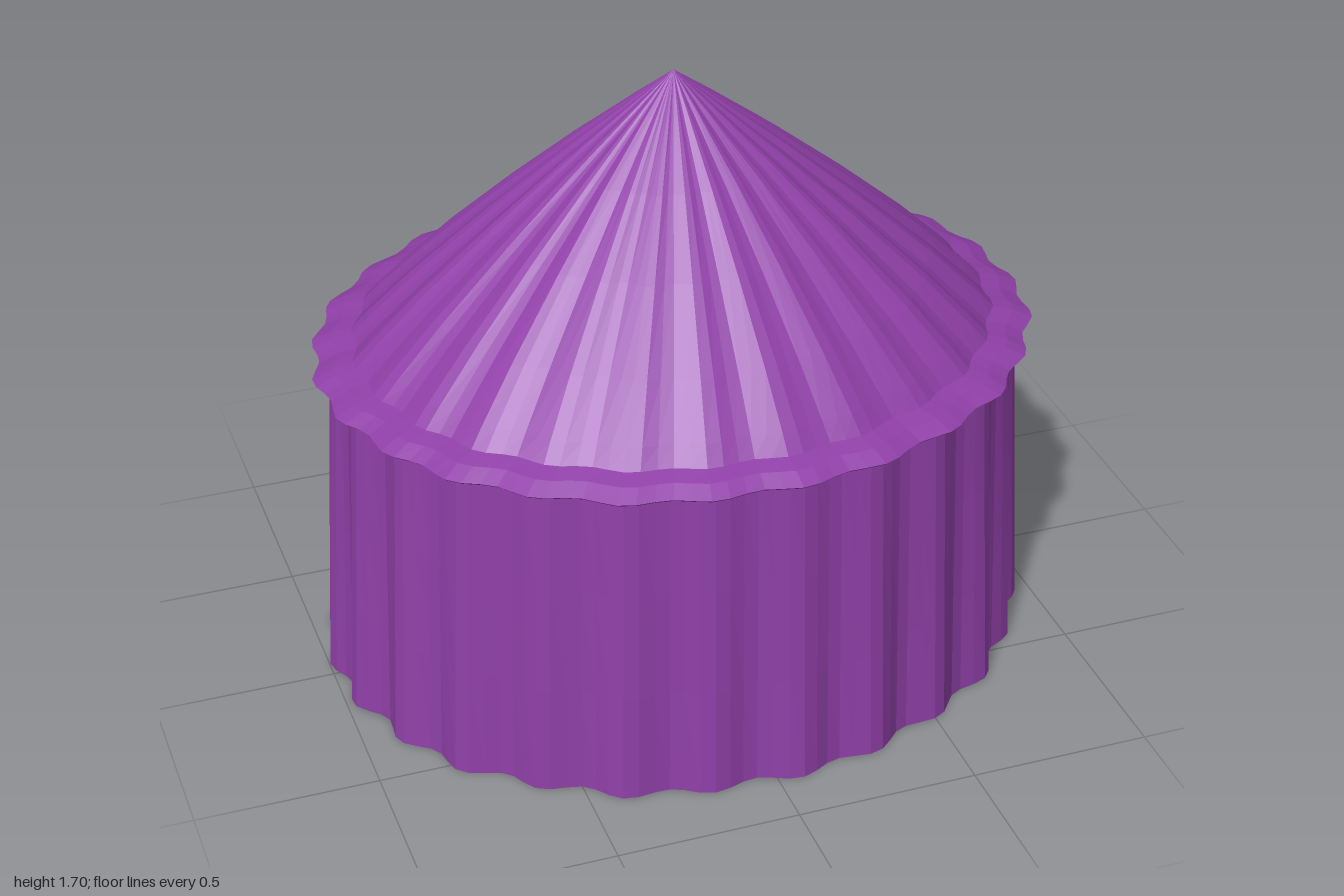
import * as THREE from 'three';

const DEPTH = 0.86;   // oval plan: depth / width
const PLEATS = 26;
const DOOR = [-0.48, 0.42]; // door edges, angle from the back centre

const cloth = new THREE.MeshStandardMaterial({ color: 0x9040a8, side: THREE.DoubleSide, flatShading: true });
const dark = new THREE.MeshStandardMaterial({ color: 0x2a2032, side: THREE.DoubleSide });
const gold = new THREE.MeshStandardMaterial({ color: 0xc8b040 });

// Grid surface from point(u, v) with u, v in 0..1
function sheet(name, nu, nv, point, material, closed = false) {
  const positions = [], index = [];
  const cols = closed ? nu : nu + 1;
  for (let j = 0; j <= nv; j++)
    for (let i = 0; i < cols; i++) positions.push(...point(i / nu, j / nv, j));
  for (let j = 0; j < nv; j++)
    for (let i = 0; i < nu; i++) {
      const k = (i + 1) % cols;
      const a = j * cols + i, b = j * cols + k, c = a + cols, d = b + cols;
      index.push(a, b, c, b, d, c);
    }
  const geometry = new THREE.BufferGeometry();
  geometry.setAttribute('position', new THREE.Float32BufferAttribute(positions, 3));
  geometry.setIndex(index);
  geometry.computeVertexNormals();
  const mesh = new THREE.Mesh(geometry, material);
  mesh.name = name;
  return mesh;
}

// Point on the oval, angle measured from the back centre towards +x
const oval = (angle, r, y) => [r * Math.sin(angle), y, -DEPTH * r * Math.cos(angle)];

// Uneven pleat wave in -1..1
const pleat = (angle) =>
  0.8 * Math.cos(PLEATS * angle + 1.6) + 0.2 * Math.sin(11 * angle + 0.5);

// Pleated roof with a flared eave turned under to the wall
function roof() {
  // radius, height, pleat depth
  const profile = [[0.001, 1.7, 0], [0.12, 1.61, 0.004], [0.3, 1.47, 0.008], [0.5, 1.305, 0.011],
    [0.7, 1.13, 0.013], [0.83, 1.005, 0.013], [0.875, 0.958, 0.012], [0.93, 0.945, 0.014],
    [0.982, 0.922, 0.016], [0.975, 0.916, 0.016], [0.925, 0.924, 0.01]];
  return sheet('roof', PLEATS * 5, profile.length - 1, (u, v, j) => {
    const angle = -u * Math.PI * 2;
    const [r, y, depth] = profile[j];
    return oval(angle, r + depth * pleat(angle), y);
  }, cloth, true);
}

// Pleated wall, widening downwards, open between the door edges
function wall() {
  const start = DOOR[1], sweep = Math.PI * 2 - (DOOR[1] - DOOR[0]);
  return sheet('wall', PLEATS * 5, 3, (u, v) => {
    const angle = start + u * sweep;
    const r = 0.935 + 0.042 * v + (0.014 + 0.011 * v) * pleat(angle);
    return oval(angle, r, 0.93 * (1 - v));
  }, cloth);
}

// Gathered valance over the door: wavy outer layer, longer inner layer
function valance() {
  const group = new THREE.Group();
  group.name = 'doorValance';
  const layer = (name, radius, depth, bottom, waves) =>
    sheet(name, 60, 3, (u, v) => {
      const angle = DOOR[0] + u * (DOOR[1] - DOOR[0]);
      const r = radius + depth * Math.sin(u * waves * Math.PI * 2);
      return oval(angle, r, 0.93 + (bottom - 0.93) * v);
    }, cloth);
  group.add(layer('valanceOuter', 0.93, 0.033, 0.83, 3.5));
  group.add(layer('valanceInner', 0.855, 0.012, 0.78, 5));
  return group;
}

// Dark door curtain, narrower and straighter at the bottom
function curtain() {
  return sheet('doorCurtain', 40, 6, (u, v) => {
    const x = (-0.4 + 0.11 * v) * (1 - u) + (0.4 - 0.13 * v) * u;
    const fold = 0.03 * Math.sin(u * Math.PI) + 0.01 * Math.sin(u * Math.PI * 6);
    const top = 0.7 + 0.015 * Math.sin(u * Math.PI * 5);
    return [x, top * (1 - v), -0.733 - 0.05 * v - fold * (1 - v)];
  }, dark);
}

// Thin oval hoop
function hoop(name, r, y) {
  const mesh = new THREE.Mesh(new THREE.TorusGeometry(r, 0.004, 6, 96), gold);
  mesh.name = name;
  mesh.rotation.x = Math.PI / 2;
  mesh.scale.y = DEPTH;
  mesh.position.y = y;
  return mesh;
}

export function createModel() {
  const model = new THREE.Group();
  model.name = 'tent';
  model.add(roof(), wall(), valance(), curtain());
  model.add(hoop('topHoop', 0.935, 0.915), hoop('baseHoop', 0.925, 0.005));
  return model;
}
